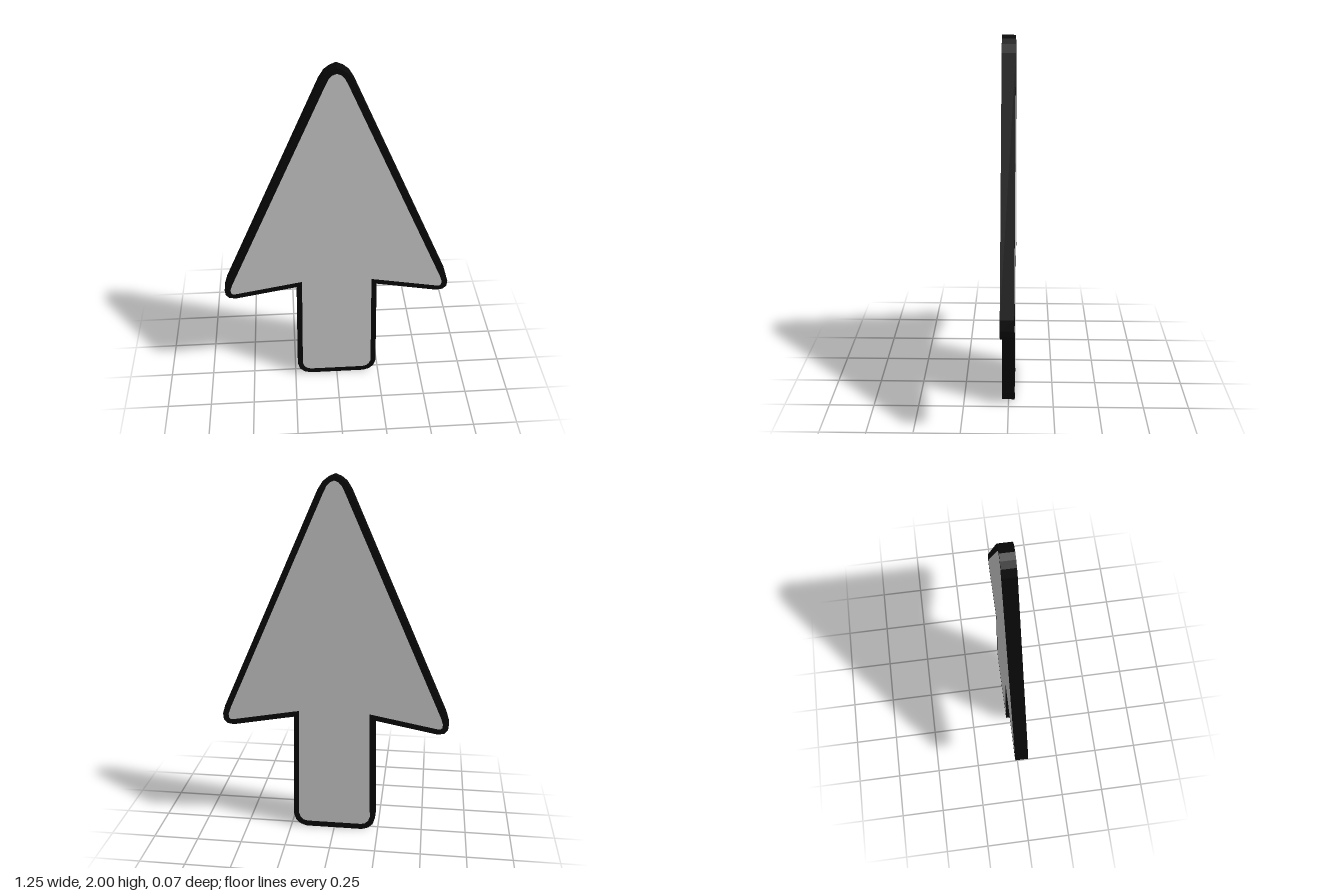
import * as THREE from 'three';

const DEPTH = 0.07;

// Right half of each outline, from the tip down to the foot
const OUTER = [
  [0, 2], [0.032, 1.987], [0.06, 1.965], [0.085, 1.925],
  [0.61, 0.735], [0.625, 0.685], [0.622, 0.65], [0.603, 0.628], [0.566, 0.622],
  [0.224, 0.686], [0.235, 0.08], [0.222, 0.037], [0.196, 0.012], [0.16, 0],
];
const INNER = [
  [0, 1.972], [0.022, 1.963], [0.038, 1.946], [0.055, 1.912],
  [0.58, 0.722], [0.593, 0.683], [0.591, 0.662], [0.582, 0.653], [0.565, 0.653],
  [0.194, 0.722], [0.205, 0.082], [0.195, 0.056], [0.178, 0.039], [0.155, 0.033],
];

// Full outline: right half down, mirrored half back up
function outline(half) {
  const mirrored = half.slice(1).reverse().map(([x, y]) => [-x, y]);
  return [...half, ...mirrored].map(([x, y]) => new THREE.Vector2(x, y));
}

function plate(name, shape, color) {
  const geometry = new THREE.ExtrudeGeometry(shape, { depth: DEPTH, bevelEnabled: false });
  geometry.translate(0, 0, -DEPTH / 2);
  const mesh = new THREE.Mesh(geometry, new THREE.MeshStandardMaterial({ color }));
  mesh.name = name;
  return mesh;
}

export function createModel() {
  const group = new THREE.Group();
  group.name = 'arrowPointer';

  // Dark border running round the arrow
  const border = new THREE.Shape(outline(OUTER));
  border.holes.push(new THREE.Path(outline(INNER)));
  group.add(plate('border', border, 0x080808));

  // Grey panel filling the border, flush on both faces
  group.add(plate('panel', new THREE.Shape(outline(INNER)), 0xcccccc));

  return group;
}
